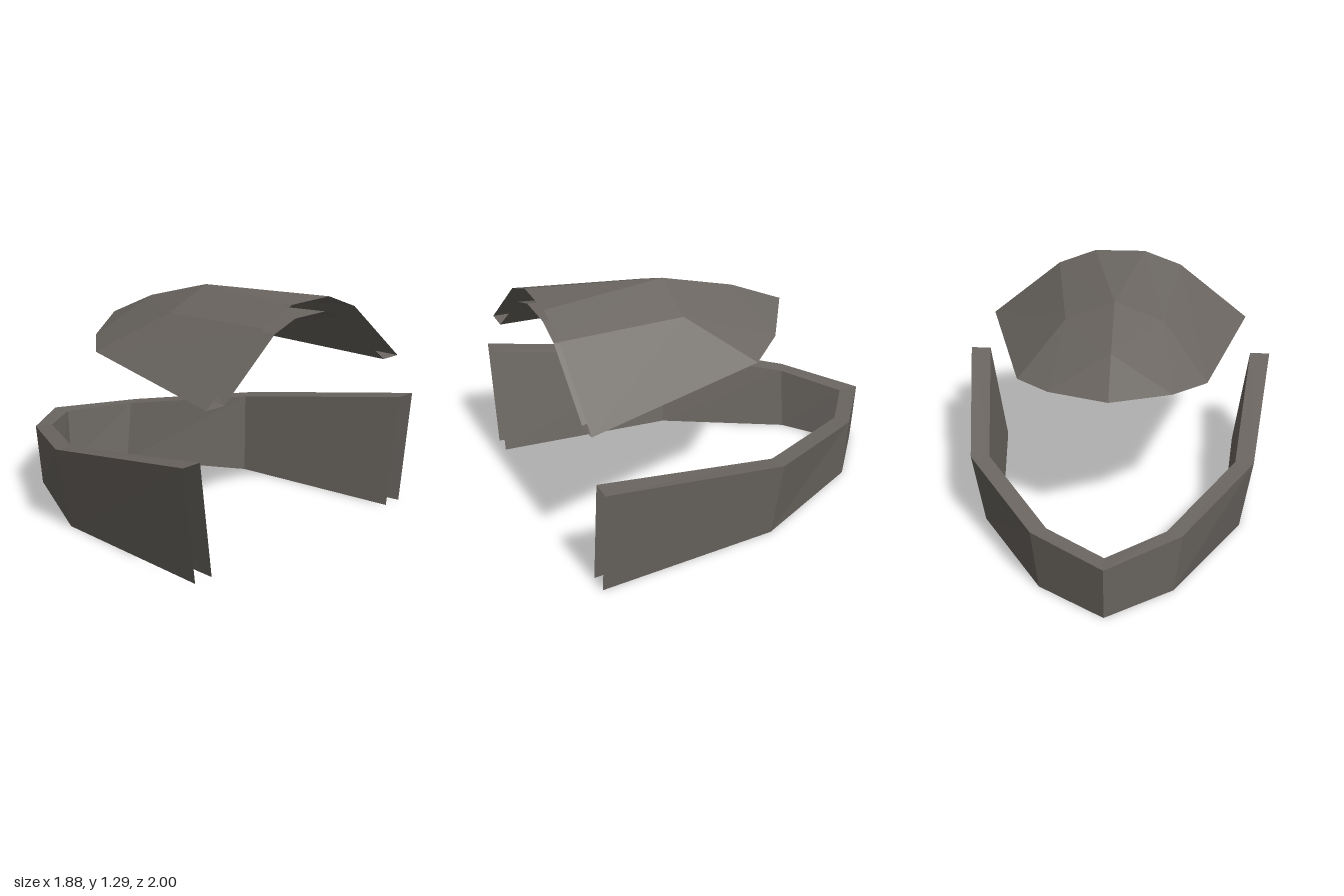
import * as THREE from 'three';

const stone = new THREE.MeshStandardMaterial({ color: 0x6b6661, flatShading: true, side: THREE.DoubleSide });
stone.name = 'warm grey';

const flipX = ([x, y, z]) => [-x, y, z];

// Half path from the front to the centre point, continued by its mirror image
const fullPath = (half) => [...half, ...half.slice(0, -1).reverse().map(flipX)];

// Mesh from a list of convex polygons
function facets(name, polygons) {
  const pos = [];
  for (const p of polygons)
    for (let i = 1; i < p.length - 1; i++) pos.push(...p[0], ...p[i], ...p[i + 1]);
  const geometry = new THREE.BufferGeometry();
  geometry.setAttribute('position', new THREE.Float32BufferAttribute(pos, 3));
  geometry.computeVertexNormals();
  const mesh = new THREE.Mesh(geometry, stone);
  mesh.name = name;
  return mesh;
}

// Strip of quads between two half paths, mirrored
function band(name, halfA, halfB) {
  const a = fullPath(halfA), b = fullPath(halfB);
  const quads = [];
  for (let i = 0; i < a.length - 1; i++) quads.push([a[i], a[i + 1], b[i + 1], b[i]]);
  return facets(name, quads);
}

// Faceted canopy skin: front, middle and rear points, nose
function skin(name, { a0, a1, a2, b0, b1, b2, c0, c1, d }, inward) {
  const half = [
    [a0, b0, b1, a1], [a1, b1, b2, a2],
    [b0, c0, b1], [b1, c0, c1], [b1, c1, b2], [c0, d, c1],
  ];
  const all = [...half, ...half.map((p) => p.map(flipX).reverse()), [a2, b2, flipX(a2)]];
  return facets(name, inward ? all.map((p) => [...p].reverse()) : all);
}

export function createModel() {
  const group = new THREE.Group();

  // Lower pointed wall, open at the front and underneath
  const outerTop = [[0.94, 0.62, 1], [0.81, 0.445, -0.07], [0.41, 0.355, -0.705], [0, 0.325, -1]];
  const outerBottom = [[0.85, 0, 1], [0.745, 0, -0.03], [0.37, 0, -0.7], [0, 0, -0.97]];
  const innerTop = [[0.82, 0.62, 1], [0.705, 0.44, -0.05], [0.325, 0.355, -0.66], [0, 0.325, -0.885]];
  const innerBottom = [[0.73, 0, 1], [0.65, 0, 0], [0.28, 0, -0.65], [0, 0, -0.86]];
  const wall = new THREE.Group();
  wall.name = 'lowerWall';
  wall.add(
    band('wallOutside', outerBottom, outerTop),
    band('wallInside', innerTop, innerBottom),
    band('wallTop', outerTop, innerTop),
  );

  // Upper canopy: outer and inner skins joined by a rim
  const outer = {
    a0: [0.78, 0.87, 1], a1: [0.37, 1.21, 1], a2: [0.15, 1.295, 1],
    b0: [0.53, 0.94, -0.045], b1: [0.28, 1.165, 0.27], b2: [0, 1.28, 0.27],
    c0: [0.34, 0.97, -0.25], c1: [0, 1.16, -0.15], d: [0, 1.02, -0.455],
  };
  const inner = {
    a0: [0.65, 0.87, 1], a1: [0.28, 1.165, 1], a2: [0.12, 1.22, 1],
    b0: [0.43, 0.94, -0.01], b1: [0.2, 1.12, 0.25], b2: [0, 1.2, 0.25],
    c0: [0.25, 0.975, -0.19], c1: [0, 1.11, -0.1], d: [0, 1.02, -0.36],
  };
  const rimPath = ({ a0, b0, c0, d }) => [a0, b0, c0, d];
  const canopy = new THREE.Group();
  canopy.name = 'canopy';
  canopy.add(
    skin('canopyOutside', outer, false),
    skin('canopyInside', inner, true),
    band('canopyRim', rimPath(inner), rimPath(outer)),
  );

  group.add(wall, canopy);
  return group;
}
